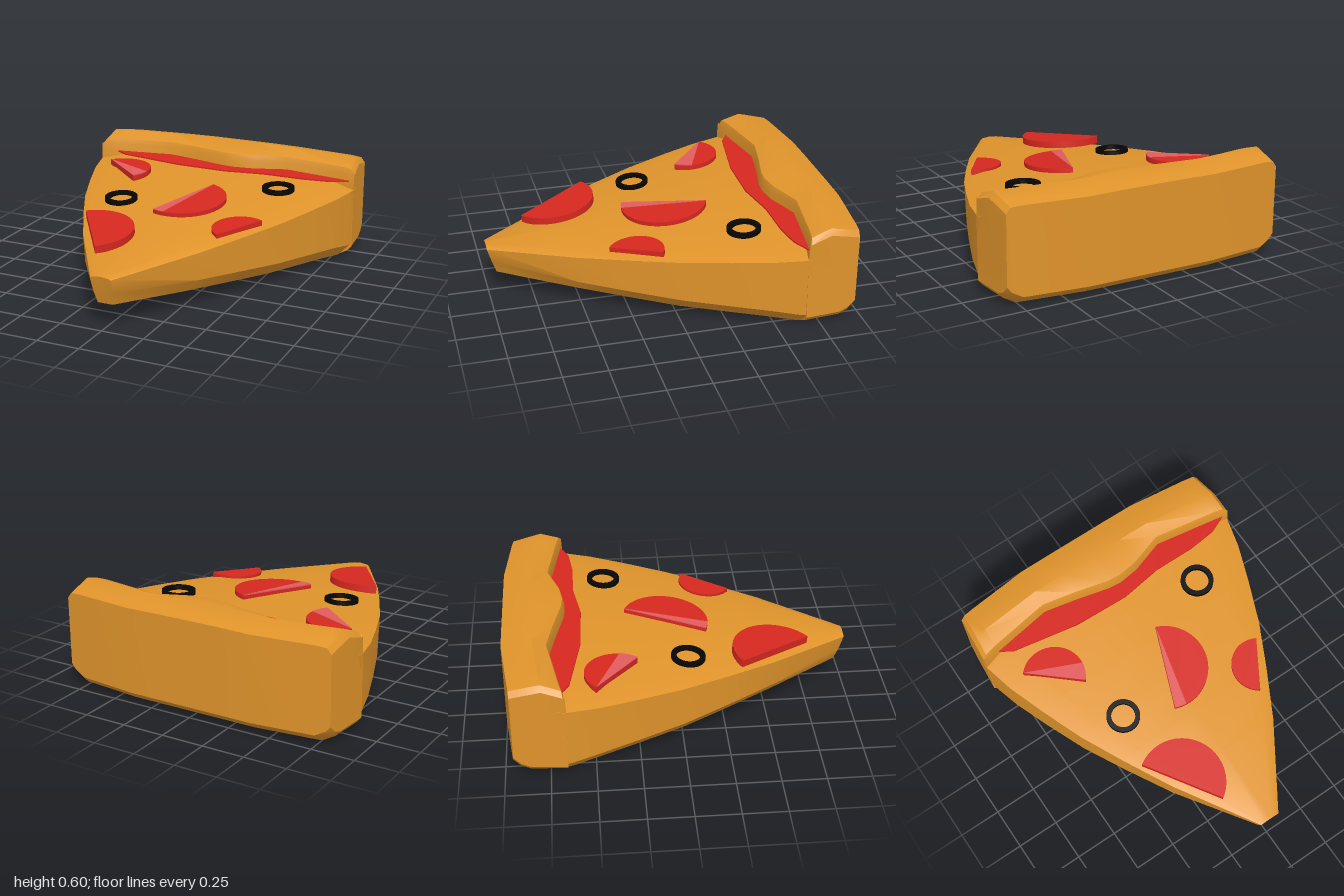
import * as THREE from 'three';
import { toCreasedNormals } from 'three/addons/utils/BufferGeometryUtils.js';

const mat = (name, color) => {
  const m = new THREE.MeshStandardMaterial({ color });
  m.name = name;
  return m;
};

// Skin a row of closed rings and cap both ends
function loft(rings, crease) {
  const n = rings[0].length, pos = rings.flat(2), idx = [];
  for (let i = 0; i < rings.length - 1; i++) {
    for (let j = 0; j < n; j++) {
      const k = (j + 1) % n, a = i * n + j, b = i * n + k, c = b + n, d = a + n;
      idx.push(a, d, b, b, d, c);
    }
  }
  [0, rings.length - 1].forEach((r, end) => {
    const centre = pos.length / 3;
    for (let c = 0; c < 3; c++) pos.push(rings[r].reduce((s, p) => s + p[c], 0) / n);
    for (let j = 0; j < n; j++) {
      const a = r * n + j, b = r * n + (j + 1) % n;
      idx.push(centre, end ? b : a, end ? a : b);
    }
  });
  const g = new THREE.BufferGeometry();
  g.setAttribute('position', new THREE.Float32BufferAttribute(pos, 3));
  g.setIndex(idx);
  return toCreasedNormals(g.toNonIndexed(), crease);
}

// Height of the gently domed, sloping cheese surface
const surface = z => 0.31 + 0.09 * (1 - z) + 0.016 * (1 - z * z);

export function createModel() {
  const model = new THREE.Group();
  model.name = 'pizzaSlice';
  const dough = mat('bakedDough', 0xe0942b);
  const red = mat('tomatoRed', 0xd6281f);
  const pink = mat('palePink', 0xe25c5c);
  const black = mat('oliveBlack', 0x060606);
  const add = (name, geometry, material) => {
    const mesh = new THREE.Mesh(geometry, material);
    mesh.name = name;
    model.add(mesh);
  };

  // Wedge: [z, half width, bottom y] from the tip to the crust
  const wedge = [
    [1, 0.06, 0.14], [0.53, 0.36, 0.105], [0.25, 0.51, 0.085], [0, 0.635, 0.065],
    [-0.25, 0.735, 0.048], [-0.47, 0.815, 0.03], [-0.62, 0.852, 0.005], [-0.66, 0.862, 0.002],
    [-0.75, 0.85, 0.002],
  ].map(([z, w, yb], i) => {
    const inset = Math.min(0.08, w * 0.25), top = surface(z), tip = i === 0 ? 1 : 0;
    const half = [
      [w - inset, yb, z - 0.05 * tip],
      [w - inset * 0.12, yb + 0.075, z - 0.025 * tip],
      [w, top - 0.01 - 0.035 * w, z],
      [w * 0.8, top - 0.005, z],
    ];
    const mirror = half.map(([x, y, zz]) => [-x, y, zz]).reverse();
    return [...half, [0, top, z], ...mirror];
  });
  add('cheeseWedge', loft(wedge, 0.6), dough);

  // Crust: [x, front z, back z, top y, bottom y] with a wavy front
  const crust = [
    [0.86, -0.655, -0.95, 0.56, 0.065], [0.835, -0.66, -0.952, 0.592, 0.035],
    [0.77, -0.672, -0.96, 0.597, 0], [0.4, -0.73, -1, 0.597, 0],
    [0.2, -0.662, -1, 0.6, 0], [0.08, -0.645, -1, 0.6, 0],
    [0, -0.652, -1, 0.6, 0], [-0.2, -0.7, -1, 0.6, 0],
    [-0.4, -0.74, -1, 0.597, 0], [-0.77, -0.677, -0.96, 0.597, 0],
    [-0.835, -0.662, -0.952, 0.592, 0.035], [-0.86, -0.655, -0.95, 0.56, 0.065],
  ].map(([x, f, b, top, bot]) => [
    [bot, b + 0.09], [bot + 0.02, b + 0.04], [bot + 0.06, b],
    [top - 0.04, b], [top - 0.028, b + 0.05], [top, b + 0.17],
    [top - 0.038, f - 0.01], [0.53, f], [0.44, f + 0.005], [bot, -0.655],
  ].map(([y, z]) => [x * (1 - 0.1 * Math.max(0, -0.66 - z)), y, z]));
  add('crust', loft(crust, 0.6), dough);

  // Sauce strip along the crust
  const sauce = new THREE.Shape([
    [-0.76, 0.68], [-0.68, 0.63], [-0.28, 0.56], [0.05, 0.55], [0.3, 0.59], [0.55, 0.59],
    [0.72, 0.61], [0.83, 0.66], [0.4, 0.76], [0.08, 0.68], [-0.4, 0.77],
  ].map(p => new THREE.Vector2(...p)));
  const sauceGeo = new THREE.ExtrudeGeometry(sauce, { depth: 0.009, bevelEnabled: false });
  add('sauce', sauceGeo.rotateX(-Math.PI / 2).translate(0, 0.473, 0), red);

  // Lay a flat shape on the cheese, its top at the given height
  const topping = (shape, depth, x, z, turn, top, tilt) =>
    new THREE.ExtrudeGeometry(shape, { depth, bevelEnabled: false, curveSegments: 20 })
      .translate(0, 0, -depth).rotateX(-Math.PI / 2).rotateY(turn)
      .rotateX(tilt).translate(x, top, z);

  // Pepperoni halves: [x, z, radius, turn, top y, tilt, angle of pale sliver]
  [
    [-0.57, -0.365, 0.183, -0.71, 0.474, 0.03, 0.6],
    [0, -0.06, 0.252, -1.94, 0.445, 0.09, 0.28],
    [-0.3, 0.555, 0.25, -0.98, 0.4, 0.1, 0],
    [0.47, 0.22, 0.158, 1.03, 0.408, 0.08, 0],
  ].forEach(([x, z, r, turn, top, tilt, sliver]) => {
    const half = new THREE.Shape();
    half.absarc(0, 0, r, 0, Math.PI, false);
    add('pepperoni', toCreasedNormals(topping(half, 0.045, x, z, turn, top, tilt), 0.6), red);
    if (sliver) {
      const cut = new THREE.Shape();
      cut.moveTo(-r, 0);
      cut.lineTo(r, 0);
      cut.absarc(0, 0, r, 0, sliver, false);
      add('pepperoniPaleEdge', topping(cut, 0.006, x, z, turn, top + 0.003, tilt), pink);
    }
  });

  // Olive rings
  [[0.465, -0.405, 0.47, 0.04], [-0.365, 0.045, 0.43, 0.08]].forEach(([x, z, top, tilt]) => {
    const ring = new THREE.Shape();
    ring.absarc(0, 0, 0.098, 0, Math.PI * 2, false);
    const hole = new THREE.Path();
    hole.absarc(0, 0, 0.07, 0, Math.PI * 2, true);
    ring.holes.push(hole);
    add('oliveRing', toCreasedNormals(topping(ring, 0.025, x, z, 0, top, tilt), 0.6), black);
  });

  return model;
}
